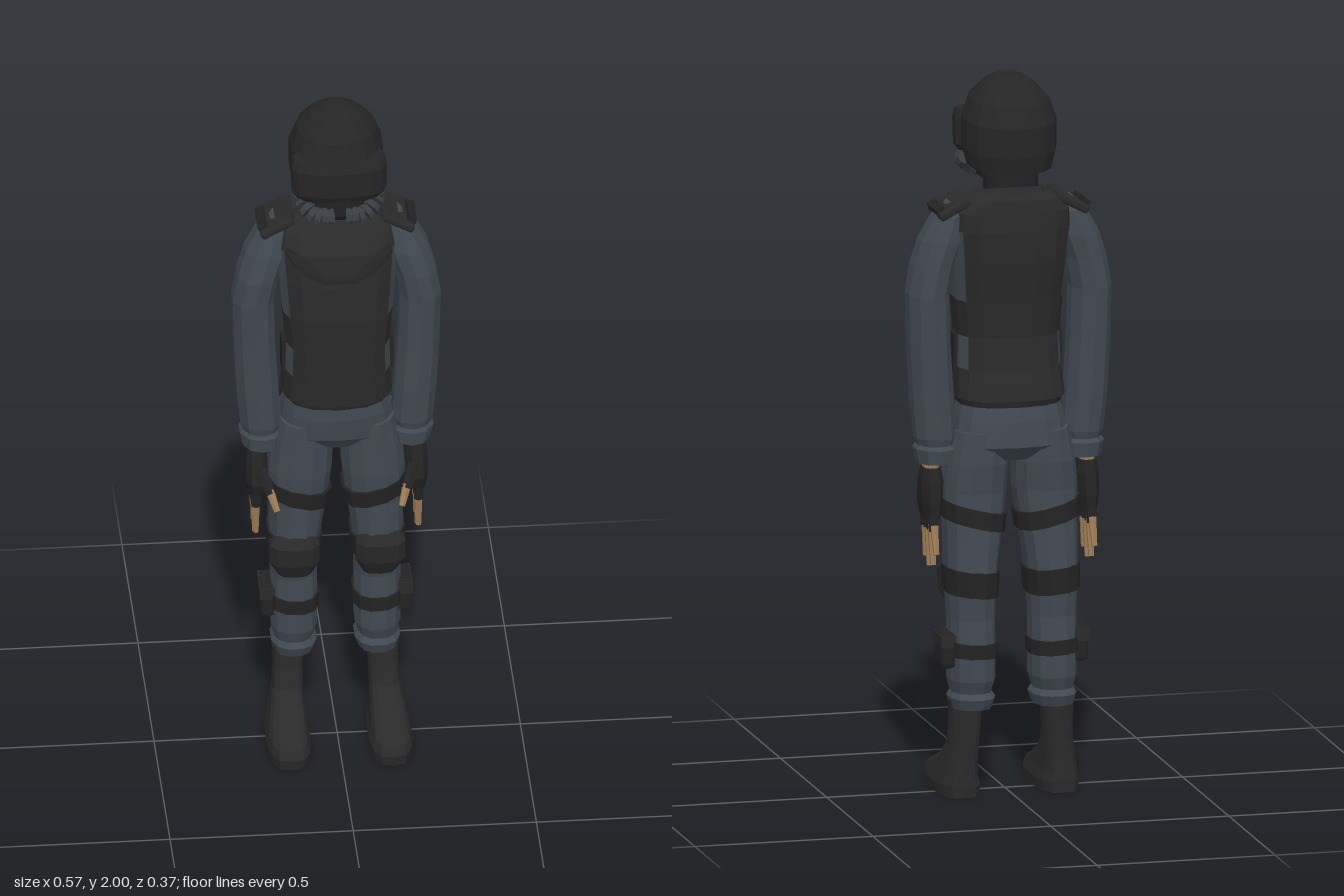
import * as THREE from 'three';
import { RoundedBoxGeometry } from 'three/addons/geometries/RoundedBoxGeometry.js';

const mat = (name, color) => {
  const m = new THREE.MeshStandardMaterial({ color, flatShading: true });
  m.name = name;
  return m;
};

// Loft through horizontal rings [y, x0, x1, z0, z1]; s mirrors in x, tilt(x, z) shifts y,
// pick(band, angle) chooses the material slot of a face.
function loft(rings, { n = 12, power = 2.5, s = 1, tilt = () => 0, pick = () => 0 } = {}) {
  const loops = [...rings].sort((a, b) => a[0] - b[0]).map(([y, x0, x1, z0, z1]) =>
    Array.from({ length: n }, (_, i) => {
      const a = ((i + 0.5) / n) * Math.PI * 2;
      const c = Math.cos(a), d = Math.sin(a), e = 2 / power;
      const u = Math.sign(c) * Math.abs(c) ** e * (x1 - x0) / 2;
      const v = Math.sign(d) * Math.abs(d) ** e * (z1 - z0) / 2;
      return new THREE.Vector3(s * (x0 + x1) / 2 + u, y + tilt(s * u, v), (z0 + z1) / 2 + v);
    }));
  const slots = [[], []];
  const top = loops[loops.length - 1], bottom = loops[0];
  const mid = (l) => l.reduce((p, q) => p.add(q), new THREE.Vector3()).divideScalar(n);
  const topMid = mid(top), bottomMid = mid(bottom);
  for (let i = 0; i < n; i++) {
    const j = (i + 1) % n;
    for (let k = 0; k < loops.length - 1; k++) {
      const [b, t] = [loops[k], loops[k + 1]];
      slots[pick(k, ((i + 1) / n) * Math.PI * 2)].push(b[i], t[i], b[j], b[j], t[i], t[j]);
    }
    slots[0].push(topMid, top[j], top[i], bottomMid, bottom[i], bottom[j]);
  }
  const g = new THREE.BufferGeometry().setFromPoints(slots.flat());
  g.addGroup(0, slots[0].length, 0);
  if (slots[1].length) g.addGroup(slots[0].length, slots[1].length, 1);
  g.computeVertexNormals();
  return g;
}

// Symmetric ring about x = 0
const sym = ([y, x, z0, z1]) => [y, -x, x, z0, z1];

// Ring of a limb at height y, grown outward by off
function ringAt(rings, y, off) {
  const k = Math.max(0, rings.findIndex((r, i) => i < rings.length - 1 && r[0] >= y && rings[i + 1][0] <= y));
  const [a, b] = [rings[k], rings[k + 1]];
  const t = (a[0] - y) / (a[0] - b[0]);
  const r = a.map((v, i) => v + (b[i] - v) * t);
  return [y, r[1] - off, r[2] + off, r[3] - off, r[4] + off];
}

// Tapered rod between two points
function rod(a, b, r0, r1, sides = 6) {
  const p = new THREE.Vector3(...a), q = new THREE.Vector3(...b);
  const d = q.clone().sub(p);
  const g = new THREE.CylinderGeometry(r1, r0, d.length(), sides);
  g.applyQuaternion(new THREE.Quaternion().setFromUnitVectors(new THREE.Vector3(0, 1, 0), d.normalize()));
  return g.translate((p.x + q.x) / 2, (p.y + q.y) / 2, (p.z + q.z) / 2);
}

const ARM = [
  [1.655, 0.13, 0.175, -0.09, 0], [1.62, 0.12, 0.215, -0.11, 0.02], [1.55, 0.13, 0.252, -0.12, 0.04],
  [1.48, 0.155, 0.273, -0.12, 0.05], [1.4, 0.17, 0.287, -0.12, 0.047], [1.25, 0.165, 0.283, -0.115, 0.04],
  [1.1, 0.155, 0.275, -0.11, 0.035], [1.0, 0.148, 0.265, -0.105, 0.03], [0.98, 0.155, 0.258, -0.1, 0.025],
  [0.97, 0.143, 0.267, -0.11, 0.032], [0.93, 0.15, 0.258, -0.105, 0.028]];

const LEG = [
  [1.02, 0.02, 0.16, -0.15, 0.06], [0.93, 0.008, 0.18, -0.15, 0.056], [0.85, 0.012, 0.188, -0.14, 0.055],
  [0.75, 0.025, 0.185, -0.145, 0.043], [0.65, 0.04, 0.184, -0.155, 0.04], [0.6, 0.045, 0.184, -0.16, 0.03],
  [0.5, 0.05, 0.178, -0.15, 0.01], [0.42, 0.05, 0.178, -0.157, 0.013], [0.33, 0.05, 0.178, -0.155, 0.012],
  [0.295, 0.06, 0.17, -0.142, 0], [0.28, 0.05, 0.178, -0.157, 0.012], [0.25, 0.06, 0.17, -0.145, 0]];

export function createModel() {
  const root = new THREE.Group();
  root.name = 'armouredFigure';
  const black = mat('vestBlack', 0x2a2a2a);
  const helmetBlack = mat('helmetBlack', 0x262626);
  const fabric = mat('blueGreyFabric', 0x414951);
  const strap = mat('strapBlack', 0x232323);
  const rubber = mat('maskGrey', 0x383d42);
  const skin = mat('skin', 0x9a7a54);
  const add = (name, geo, material, parent = root) => {
    const m = new THREE.Mesh(geo, material);
    m.name = name;
    parent.add(m);
    return m;
  };

  // Helmet, visor and face
  add('helmet', loft([
    [1.75, 0.115, -0.175, 0.07], [1.8, 0.128, -0.185, 0.095], [1.88, 0.128, -0.185, 0.097],
    [1.935, 0.108, -0.16, 0.08], [1.975, 0.072, -0.12, 0.045], [2.0, 0.03, -0.07, 0]].map(sym),
  { n: 16, power: 2.2, tilt: (x, z) => (Math.abs(z) > 0.06 ? z * 0.06 : 0) }), helmetBlack);
  add('visor', loft([
    [1.77, 0.115, 0.0, 0.1], [1.79, 0.13, -0.01, 0.11], [1.865, 0.132, -0.01, 0.112], [1.89, 0.126, 0, 0.1]].map(sym),
  { n: 16 }), helmetBlack);
  add('faceMask', loft([[1.685, 0.045, -0.03, 0.055], [1.71, 0.075, -0.08, 0.08], [1.79, 0.09, -0.1, 0.085]].map(sym)), strap);
  add('neck', loft([[1.6, 0.08, -0.13, 0], [1.78, 0.07, -0.125, 0]].map(sym)), strap);

  // Vest with cloth side panels
  add('vest', loft([
    [1.11, 0.152, -0.166, 0.1], [1.15, 0.148, -0.155, 0.102], [1.19, 0.145, -0.142, 0.102],
    [1.28, 0.143, -0.13, 0.106], [1.38, 0.152, -0.142, 0.11], [1.49, 0.162, -0.16, 0.102],
    [1.58, 0.17, -0.165, 0.08], [1.63, 0.165, -0.16, 0.05], [1.665, 0.13, -0.155, 0.025],
    [1.685, 0.09, -0.145, 0]].map(sym),
  { n: 16, power: 2.7, pick: (k, a) => ((k === 2 || k === 4 || k === 5) && Math.abs(Math.cos(a)) > 0.75 ? 1 : 0) }),
  [black, fabric]);
  add('collar', loft([[1.64, 0.125, -0.155, 0.03], [1.685, 0.085, -0.14, 0.005]].map(sym),
    { tilt: (x, z) => -z * 0.25 }), black);
  add('chestSeam', loft([[1.5, 0.145, 0, 0.104], [1.512, 0.145, 0, 0.101]].map(sym),
    { n: 16, power: 2.7, tilt: (x) => x * x * 4 }), strap);

  // Hips and belt
  add('hips', loft([
    [0.94, 0.085, -0.13, 0.035], [0.98, 0.162, -0.163, 0.065], [1.05, 0.15, -0.157, 0.077],
    [1.12, 0.135, -0.14, 0.075]].map(sym), { n: 14 }), fabric);
  add('belt', loft([[1.09, 0.143, -0.152, 0.083], [1.12, 0.143, -0.15, 0.083]].map(sym), { n: 14 }), strap);

  for (const s of [1, -1]) {
    const side = s > 0 ? 'left' : 'right';
    const arm = new THREE.Group();
    arm.name = side + 'Arm';
    const leg = new THREE.Group();
    leg.name = side + 'Leg';
    root.add(arm, leg);
    const X = ([x, y, z]) => [s * x, y, z];

    // Ribbed breathing hose under the visor
    const hose = new THREE.CatmullRomCurve3([
      [0.02, 1.715, 0.08], [0.065, 1.72, 0.085], [0.1, 1.745, 0.06], [0.105, 1.76, 0.02]].map((p) => new THREE.Vector3(...X(p))));
    for (let i = 0; i < 8; i++) {
      const a = hose.getPoint(i / 8), b = hose.getPoint((i + 0.9) / 8);
      add(side + 'HoseRib', rod(a.toArray(), b.toArray(), 0.027, 0.02, 8), rubber);
    }

    // Sleeve, shoulder strap and side buckle
    add('sleeve', loft(ARM, { s, n: 10, power: 2.1 }), fabric, arm);
    const pad = add('shoulderStrap', new RoundedBoxGeometry(0.1, 0.025, 0.14, 1, 0.008), black, arm);
    pad.position.set(s * 0.165, 1.643, -0.045);
    pad.rotation.z = -s * 0.5;
    const edge = add('shoulderStrapEnd', new THREE.BoxGeometry(0.025, 0.03, 0.1), strap, arm);
    edge.position.set(s * 0.2, 1.632, -0.045);
    edge.rotation.z = -s * 0.5;
    const buckle = add('sideStrap', new THREE.BoxGeometry(0.015, 0.1, 0.05), strap);
    buckle.position.set(s * 0.145, 1.23, -0.01);

    // Hand in a fingerless glove
    add('wrist', loft([[0.96, 0.197, 0.24, -0.07, -0.012], [0.9, 0.197, 0.24, -0.07, -0.012]], { s, n: 8 }), skin, arm);
    add('glove', loft([
      [0.915, 0.193, 0.245, -0.078, -0.003], [0.88, 0.186, 0.25, -0.09, 0.012],
      [0.82, 0.19, 0.25, -0.1, 0.03], [0.775, 0.198, 0.243, -0.095, 0.015]], { s, n: 8 }), strap, arm);
    [[-0.08, -0.118, 0.685], [-0.053, -0.082, 0.65], [-0.025, -0.04, 0.64], [0.002, 0, 0.66]].forEach(([z0, z1, y]) => {
      const zm = z0 + (z1 - z0) * 0.3;
      add('gloveFinger', rod(X([0.222, 0.79, z0]), X([0.222, 0.745, zm]), 0.015, 0.014), strap, arm);
      add('finger', rod(X([0.222, 0.76, zm]), X([0.222, y, z1]), 0.012, 0.008), skin, arm);
    });
    add('gloveThumb', rod(X([0.21, 0.86, 0.005]), X([0.185, 0.805, 0.045]), 0.02, 0.015), strap, arm);
    add('thumb', rod(X([0.187, 0.815, 0.04]), X([0.17, 0.768, 0.075]), 0.013, 0.009), skin, arm);

    // Trouser leg with straps
    add('trouserLeg', loft(LEG, { s, n: 12, power: 2.4 }), fabric, leg);
    const band = (name, y0, y1, slope) => add(name, loft([ringAt(LEG, y1, 0.006), ringAt(LEG, y0, 0.006)],
      { s, n: 12, power: 2.4, tilt: (x) => x * slope }), strap, leg);
    band('thighStrap', 0.755, 0.805, 0.25);
    band('kneeStrap', 0.565, 0.635, 0.1);
    band('calfStrap', 0.395, 0.435, 0.05);

    // Knee pad
    add('kneePad', loft([
      [0.655, 0.065, 0.165, -0.05, 0.04], [0.625, 0.047, 0.187, -0.06, 0.056],
      [0.565, 0.047, 0.187, -0.06, 0.045], [0.515, 0.07, 0.16, -0.05, 0.016]], { s, n: 10, power: 2.8 }), black, leg);

    // Calf pouch with flap
    add('calfPouch', new RoundedBoxGeometry(0.04, 0.1, 0.095, 1, 0.012), strap, leg).position.set(s * 0.186, 0.415, -0.072);
    add('pouchFlap', new THREE.BoxGeometry(0.043, 0.035, 0.099), black, leg).position.set(s * 0.187, 0.44, -0.072);

    // Boot
    add('boot', loft([
      [0, 0.082, 0.196, -0.11, 0.182], [0.03, 0.078, 0.2, -0.112, 0.187], [0.055, 0.085, 0.195, -0.11, 0.175],
      [0.08, 0.088, 0.188, -0.108, 0.11], [0.105, 0.09, 0.182, -0.106, 0.045], [0.14, 0.09, 0.175, -0.106, 0.0],
      [0.2, 0.088, 0.172, -0.11, -0.018], [0.27, 0.082, 0.174, -0.115, -0.022]], { s, n: 14, power: 2.9 }), black, leg);
  }
  return root;
}
